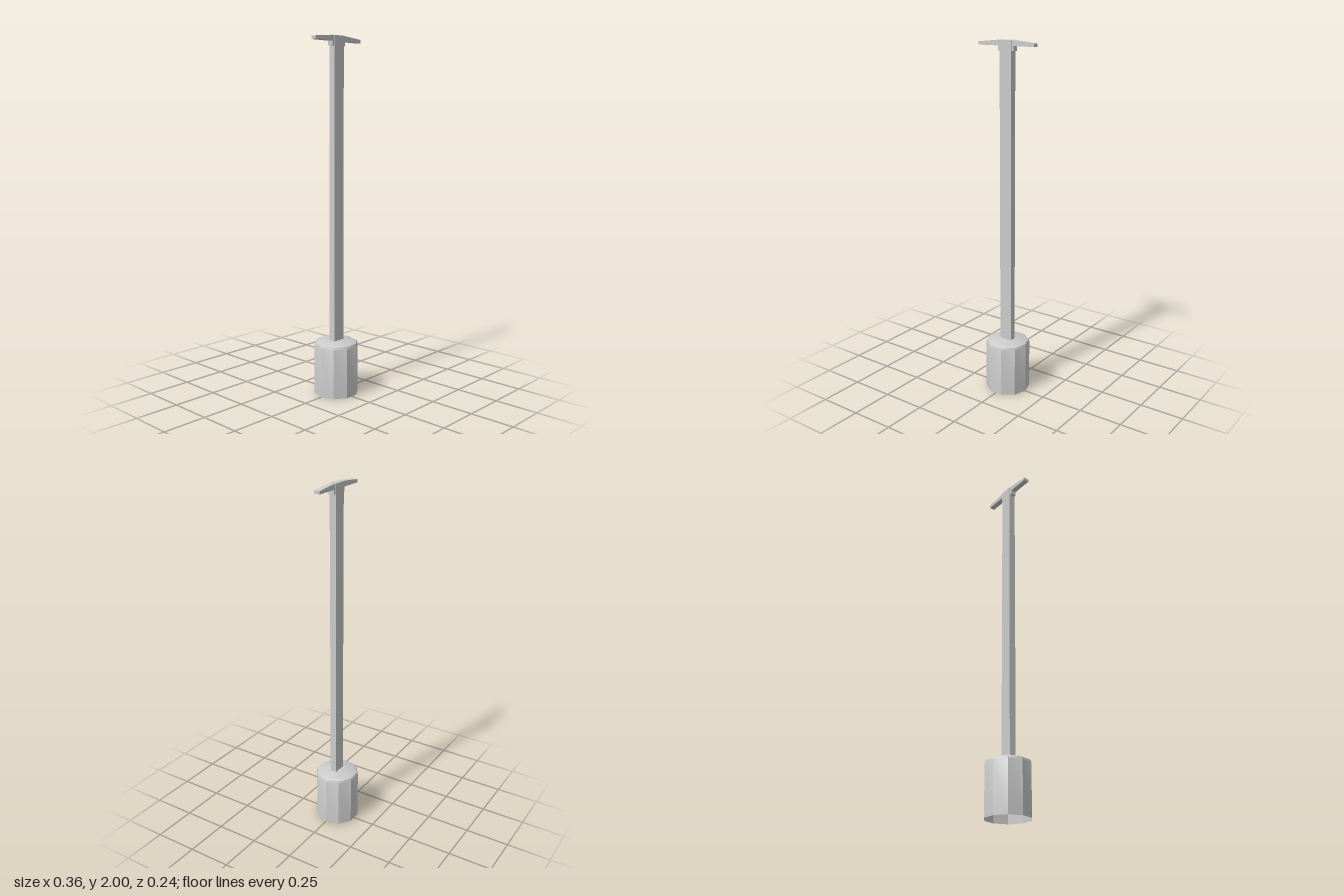
import * as THREE from 'three';
import { toCreasedNormals } from 'three/addons/utils/BufferGeometryUtils.js';

export function createModel() {
  const group = new THREE.Group();
  const solid = new THREE.MeshStandardMaterial({ color: 0xcccccc });
  const open = new THREE.MeshStandardMaterial({ color: 0xcccccc, side: THREE.DoubleSide });

  const add = (name, geometry, material = solid) => {
    const mesh = new THREE.Mesh(geometry, material);
    mesh.name = name;
    group.add(mesh);
    return mesh;
  };

  // Ten-sided cup, open underneath, with a softly bevelled, slightly domed top
  const cupProfile = [[0.126, 0], [0.126, 0.283], [0.121, 0.296], [0.104, 0.305], [0, 0.31]]
    .map(([r, y]) => new THREE.Vector2(r, y));
  const cup = new THREE.LatheGeometry(cupProfile, 10, Math.PI / 10);
  add('cup', toCreasedNormals(cup, 0.6), open).position.z = -0.002;

  // Flat rectangular shaft
  const shaft = new THREE.BoxGeometry(0.074, 1.695, 0.038);
  add('shaft', shaft).position.set(0, 1.1525, 0.0015);

  // Crossbar with tapering arms and a stepped collar below, drawn as half a profile
  const half = [[0.05, 1.945], [0.05, 1.97], [0.178, 1.97], [0.178, 1.987], [0.053, 1.999]];
  const outline = [
    ...half,
    ...half.map(([x, y]) => [-x, y]).reverse(),
  ].map(([x, y]) => new THREE.Vector2(x, y));
  const crossbar = new THREE.ExtrudeGeometry(new THREE.Shape(outline), {
    depth: 0.032, bevelEnabled: false,
  });
  add('crossbar', crossbar).position.z = -0.0135;

  return group;
}
